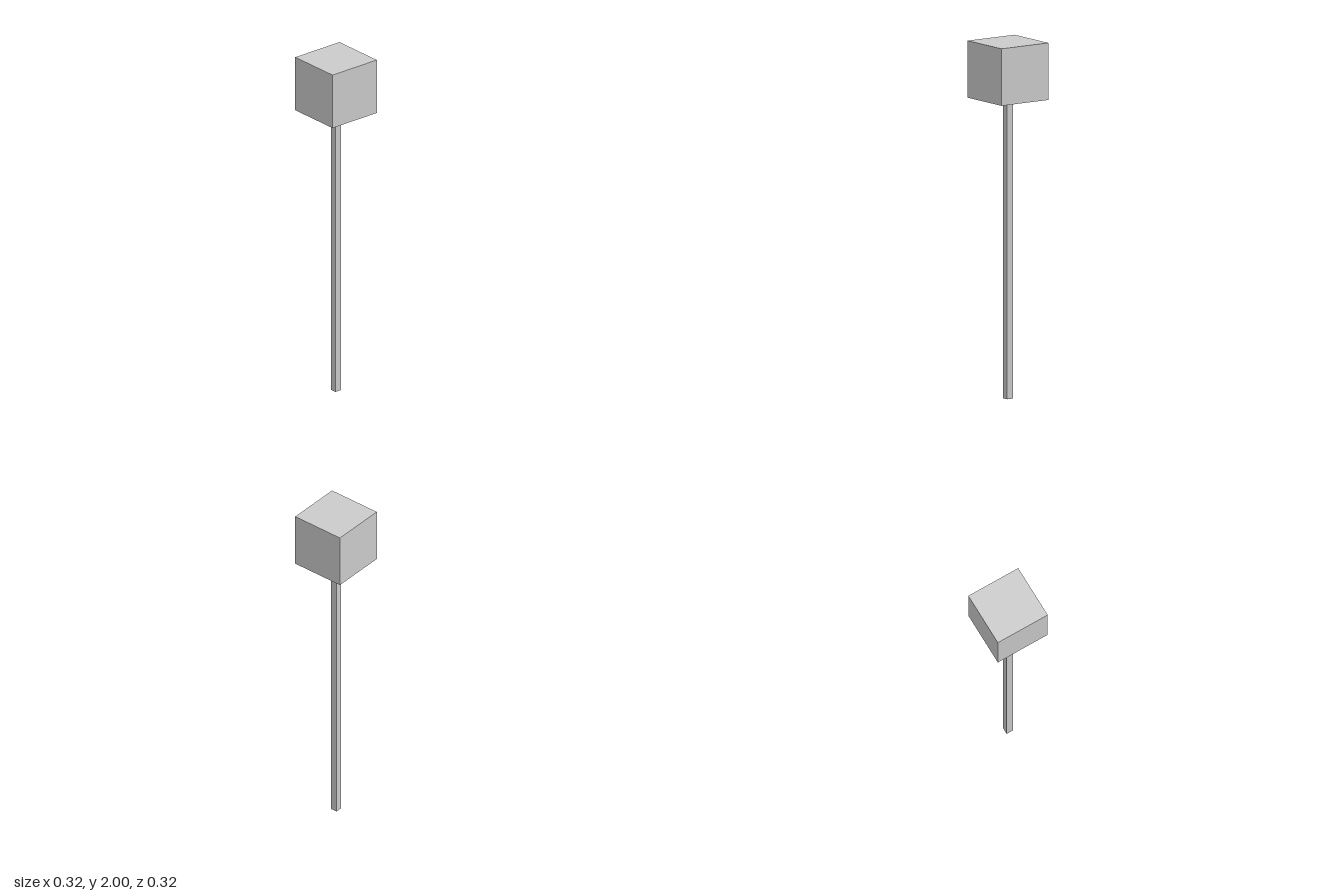
import * as THREE from 'three';

const HEIGHT = 2;
const HEAD = 0.32;
const POLE = 0.04;

export function createModel() {
  const model = new THREE.Group();
  const material = new THREE.MeshStandardMaterial({ color: 0xcccccc, flatShading: true });

  // Square box standing on the given height
  const addBox = (name, width, height, bottom) => {
    const mesh = new THREE.Mesh(new THREE.BoxGeometry(width, height, width), material);
    mesh.name = name;
    mesh.position.y = bottom + height / 2;
    model.add(mesh);
  };

  // Slim square pole with a cube head on top
  addBox('pole', POLE, HEIGHT - HEAD, 0);
  addBox('head', HEAD, HEAD, HEIGHT - HEAD);

  return model;
}
